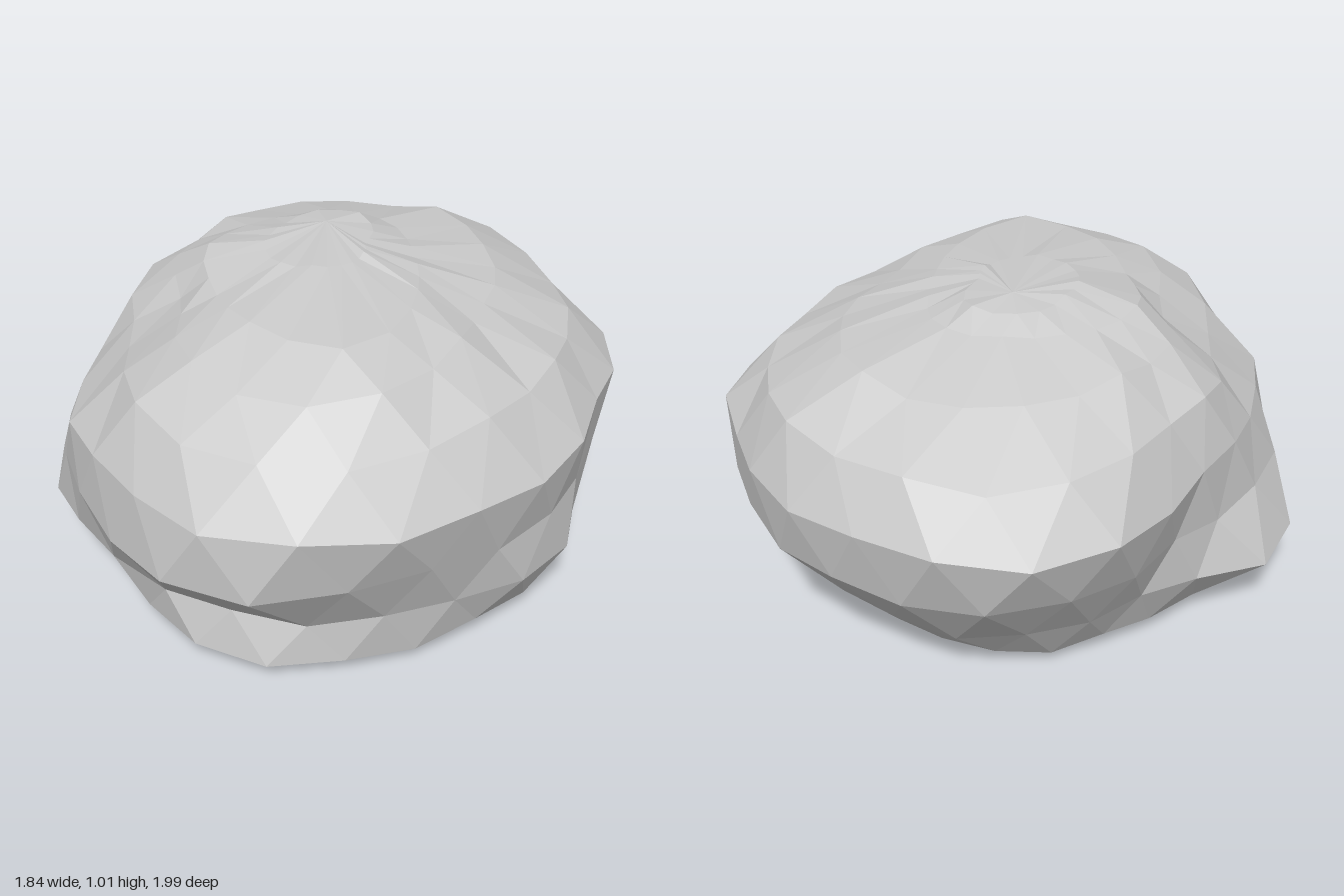
import * as THREE from 'three';

// Radii of the lower rim, 16 from +x round towards +z
const RIM = [0.66, 0.76, 0.80, 0.80, 0.84, 0.89, 0.83, 0.75, 0.74, 0.72, 0.66, 0.65, 0.66, 0.63, 0.61, 0.62];

// Horizontal cross-sections from the base up: height, then radii in the same order
const SECTIONS = [
  [0.02, RIM.map((r) => r * 0.86)],
  [0.06, RIM],
  [0.21, [0.80, 0.82, 0.89, 0.84, 0.85, 0.85, 0.86, 0.88, 0.93, 0.90, 0.72, 0.74, 0.78, 0.77, 0.76, 0.78]],
  [0.40, [0.91, 0.84, 0.87, 0.89, 0.96, 1.05, 0.95, 0.89, 0.87, 0.79, 0.74, 0.85, 0.94, 0.91, 0.90, 0.89]],
  [0.60, [0.93, 0.86, 0.91, 0.94, 1.02, 1.04, 0.92, 0.88, 0.81, 0.76, 0.77, 0.93, 1.01, 0.95, 0.93, 0.89]],
  [0.77, [0.76, 0.74, 0.76, 0.82, 0.90, 0.91, 0.82, 0.70, 0.66, 0.69, 0.69, 0.80, 0.88, 0.86, 0.83, 0.78]],
  [0.89, [0.53, 0.49, 0.53, 0.65, 0.78, 0.76, 0.65, 0.54, 0.50, 0.53, 0.55, 0.60, 0.64, 0.64, 0.61, 0.55]],
  [0.96, [0.26, 0.28, 0.34, 0.46, 0.62, 0.54, 0.46, 0.42, 0.41, 0.40, 0.38, 0.36, 0.36, 0.35, 0.32, 0.28]],
  [1.00, [0.10, 0.11, 0.12, 0.14, 0.16, 0.18, 0.20, 0.21, 0.21, 0.21, 0.22, 0.26, 0.28, 0.26, 0.20, 0.13]],
];
const SIDES = 24;

// Local hollows (negative) and swellings: centre, reach, amount
const DENTS = [
  { at: new THREE.Vector3(-0.48, 0.84, 0.06), reach: 0.16, amount: -0.07 },
  { at: new THREE.Vector3(-0.72, 0.66, -0.12), reach: 0.16, amount: -0.06 },
  { at: new THREE.Vector3(0.6, 0.83, -0.35), reach: 0.25, amount: 0.02 },
  { at: new THREE.Vector3(0.4, 0.9, 0.02), reach: 0.2, amount: -0.02 },
];

// Smooth cyclic interpolation of the radii of one section
function radiusAt(radii, angle) {
  const n = radii.length;
  const t = (angle / (Math.PI * 2)) * n - 0.5 + n;
  const k = Math.floor(t), f = t - k;
  const [a, b, c, d] = [-1, 0, 1, 2].map((o) => radii[(k + o) % n]);
  return b + 0.5 * f * (c - a + f * (2 * a - 5 * b + 4 * c - d + f * (3 * (b - c) + d - a)));
}

// Small repeatable unevenness in -1..1
const uneven = (i, j) => Math.sin(i * 2.4 + j * 1.7) * Math.cos(i * 1.3 - j * 2.9);

function createRing([y, radii], j) {
  const rough = y < 0.03 || y > 0.95 ? 0.008 : 0.02;
  return Array.from({ length: SIDES }, (_, i) => {
    // Every other ring is turned by half a step
    const a = ((i + (j % 2) / 2 + 1 / 3) / SIDES) * Math.PI * 2;
    const r = radiusAt(radii, a);
    const p = new THREE.Vector3(r * Math.cos(a), y + rough * uneven(i, j), r * Math.sin(a));
    for (const { at, reach, amount } of DENTS) {
      const push = amount * Math.exp(-((p.distanceTo(at) / reach) ** 2));
      p.addScaledVector(at.clone().setY(at.y - 0.2).normalize(), push);
    }
    return p;
  });
}

function createBoulderGeometry() {
  const rings = SECTIONS.map(createRing);
  const top = rings[rings.length - 1];
  const base = new THREE.Vector3(0, 0, 0);
  const peak = new THREE.Vector3(0.02, 1.015, -0.15);
  const corners = [];

  for (let i = 0; i < SIDES; i++) {
    const n = (i + 1) % SIDES;
    // Underside and crown
    corners.push(base, rings[0][i], rings[0][n]);
    corners.push(peak, top[n], top[i]);
    // Flanks
    for (let j = 0; j < rings.length - 1; j++) {
      const a = rings[j][i], b = rings[j][n], c = rings[j + 1][i], d = rings[j + 1][n];
      if (j % 2) corners.push(a, c, d, a, d, b);
      else corners.push(a, c, b, b, c, d);
    }
  }
  const geometry = new THREE.BufferGeometry().setFromPoints(corners);
  geometry.computeVertexNormals();
  return geometry;
}

export function createModel() {
  const group = new THREE.Group();
  group.name = 'rock';
  const boulder = new THREE.Mesh(
    createBoulderGeometry(),
    new THREE.MeshStandardMaterial({ color: 0xcccccc, flatShading: true })
  );
  boulder.name = 'boulder';
  group.add(boulder);
  return group;
}
